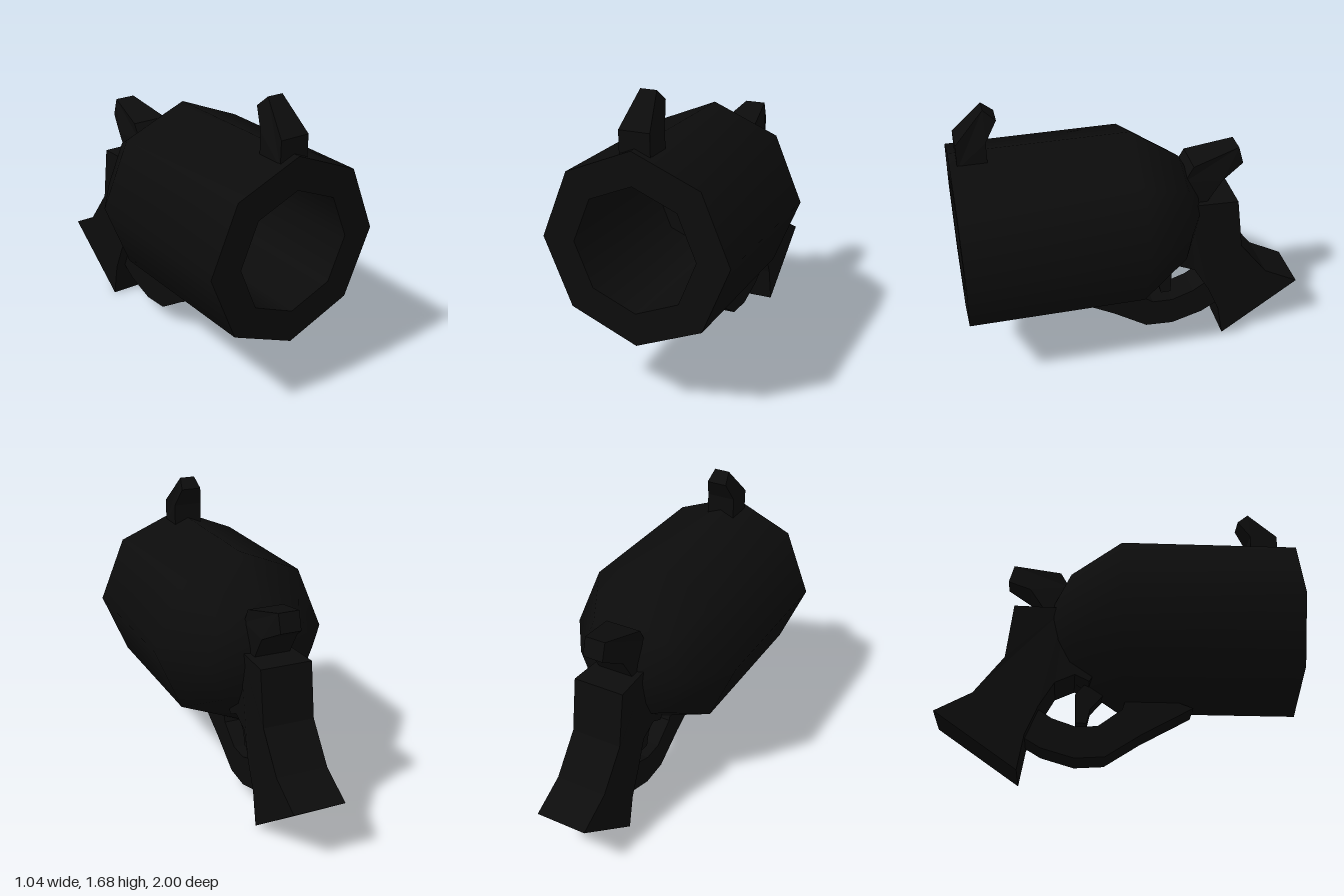
import * as THREE from 'three';

const black = new THREE.MeshStandardMaterial({ color: 0x0c0c0c });
black.name = 'black';

// Plate cut from a [z, y] side outline; halfWidth(y, z) gives its half thickness
function sidePart(name, outline, halfWidth) {
  const shape = new THREE.Shape(outline.map(([z, y]) => new THREE.Vector2(z, y)));
  const geo = new THREE.ExtrudeGeometry(shape, { depth: 2, bevelEnabled: false });
  geo.translate(0, 0, -1).rotateY(-Math.PI / 2);
  const pos = geo.attributes.position;
  for (let i = 0; i < pos.count; i++) {
    pos.setX(i, pos.getX(i) * halfWidth(pos.getY(i), pos.getZ(i)));
  }
  geo.computeVertexNormals();
  const mesh = new THREE.Mesh(geo, black);
  mesh.name = name;
  return mesh;
}

// Eight-sided turned surface along z from [radius, z] points
function turned(name, points) {
  const geo = new THREE.LatheGeometry(points.map(([r, z]) => new THREE.Vector2(r, z)), 8);
  geo.rotateX(Math.PI / 2);
  const mesh = new THREE.Mesh(geo, black);
  mesh.name = name;
  mesh.position.y = 0.905;
  return mesh;
}

export function createModel() {
  const model = new THREE.Group();
  model.name = 'stubbyPistol';
  const mix = THREE.MathUtils.mapLinear;

  // Fat barrel with rounded back, flat muzzle ring and hollow bore
  model.add(
    turned('barrel', [[0, -0.37], [0.14, -0.365], [0.325, -0.27], [0.52, 0.01], [0.52, 1]]),
    turned('muzzleRing', [[0.52, 1], [0.34, 1]]),
    turned('bore', [[0.34, 1], [0.34, 0.1]]),
    turned('boreEnd', [[0.34, 0.1], [0, 0.1]]),
  );

  // Front sight, narrowing to its tip
  model.add(sidePart('frontSight', [
    [0.96, 1.37], [0.96, 1.51], [0.8, 1.68], [0.735, 1.62], [0.8, 1.51], [0.8, 1.37],
  ], (y) => (y > 1.51 ? mix(y, 1.51, 1.68, 0.085, 0.045) : 0.085)));

  // Hammer, narrowing at the spur
  model.add(sidePart('hammer', [
    [-0.28, 1.12], [-0.33, 1.21], [-0.605, 1.275], [-0.635, 1.17],
    [-0.505, 1.1], [-0.42, 0.97], [-0.3, 0.95],
  ], (y, z) => (z < -0.51 ? 0.06 : 0.105)));

  // Grip with flared butt
  model.add(sidePart('grip', [
    [-0.3, 0.97], [-0.59, 0.97], [-0.63, 0.65], [-0.795, 0.435], [-1, 0.325],
    [-0.54, 0], [-0.505, 0.2], [-0.435, 0.365], [-0.35, 0.51], [-0.24, 0.56],
    [-0.16, 0.52], [-0.1, 0.62],
  ], (y, z) => (z > -0.42 ? 0.135 : 0.15)));

  // Trigger guard loop
  model.add(sidePart('triggerGuard', [
    [0.42, 0.39], [0.13, 0.23], [-0.07, 0.1], [-0.235, 0.09], [-0.42, 0.145],
    [-0.51, 0.2], [-0.54, 0.3], [-0.435, 0.365], [-0.36, 0.315], [-0.23, 0.27], [-0.11, 0.275],
    [0.025, 0.375], [0.04, 0.42], [0.34, 0.42],
  ], () => 0.09));

  // Trigger
  model.add(sidePart('trigger', [
    [-0.07, 0.48], [-0.15, 0.39], [-0.17, 0.305], [-0.23, 0.305],
    [-0.235, 0.475], [-0.18, 0.54], [-0.12, 0.58],
  ], () => 0.05));

  return model;
}
